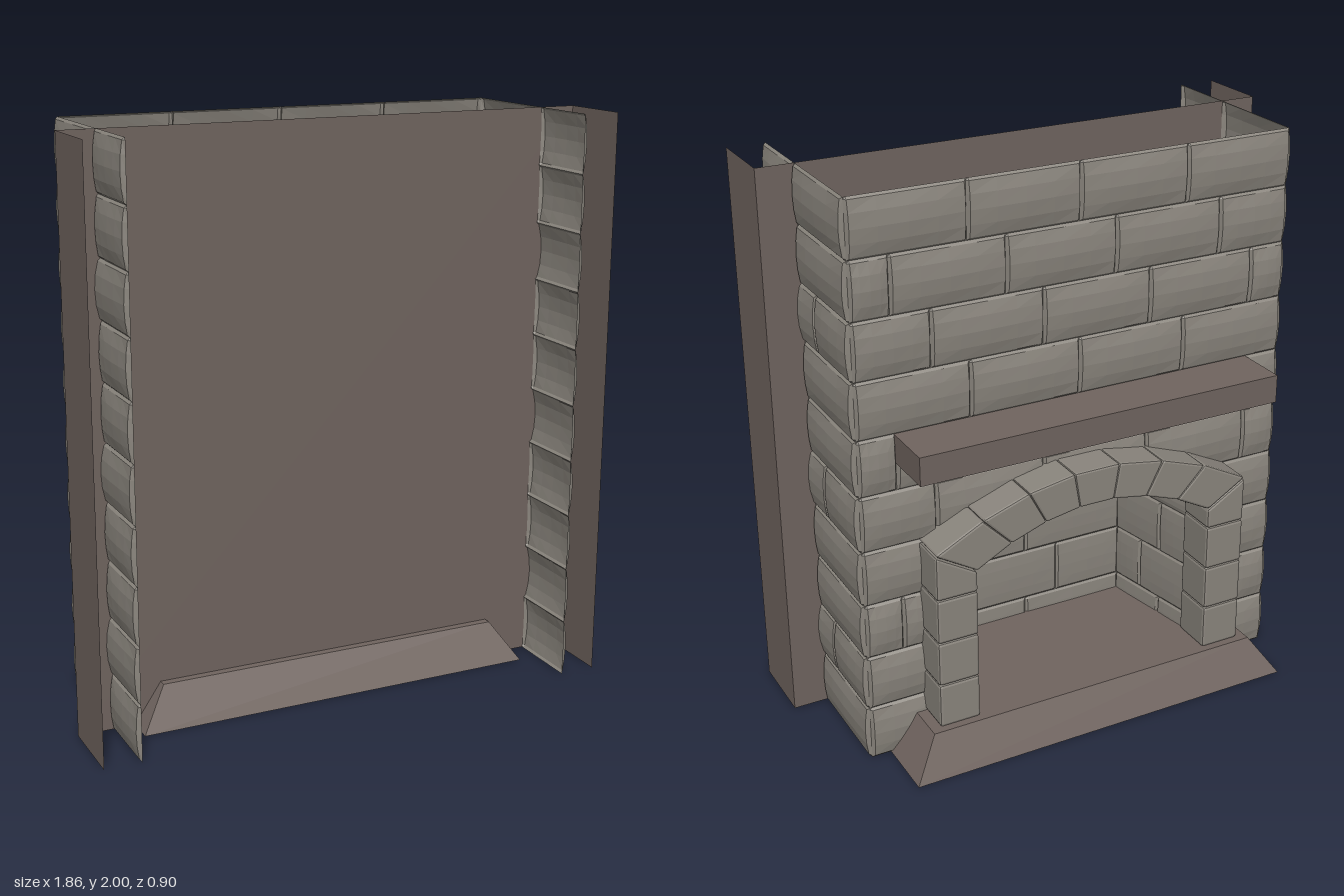
import * as THREE from 'three';
import { mergeGeometries } from 'three/addons/utils/BufferGeometryUtils.js';
import { RoundedBoxGeometry } from 'three/addons/geometries/RoundedBoxGeometry.js';

const stone = new THREE.MeshStandardMaterial({ name: 'grey stone', color: 0x8a857d, side: THREE.DoubleSide, flatShading: true });
const brown = new THREE.MeshStandardMaterial({ name: 'dull brown', color: 0x70645f, side: THREE.DoubleSide, flatShading: true });

// One pillowed stone face: place(u, v, h) puts a point raised h off the wall
function pillow(place, u0, u1, v0, v1, groove = 0.008, bulge = 0.016) {
  const N = 6, geo = new THREE.PlaneGeometry(1, 1, N, N), pos = geo.attributes.position;
  const steps = [0, 0.03, 0.25, 0.5, 0.75, 0.97, 1];
  const at = (i, a, b) => {
    const edge = Math.min(0.008, (b - a) * 0.2);
    if (i === 1) return a + edge;
    if (i === N - 1) return b - edge;
    return a + (b - a) * steps[i];
  };
  for (let j = 0; j <= N; j++) for (let i = 0; i <= N; i++) {
    const rim = i === 0 || j === 0 || i === N || j === N;
    const p = (4 * steps[j] * (1 - steps[j])) * (0.6 + 1.6 * steps[i] * (1 - steps[i]));
    const h = rim ? 0 : groove + bulge * Math.max(0, p - 0.1);
    pos.setXYZ(j * (N + 1) + i, ...place(at(i, u0, u1), at(j, v0, v1), h));
  }
  geo.computeVertexNormals();
  return geo;
}

const rise = (t, spring, top) => spring + (top - spring) * (1 - t * t);

export function createModel() {
  const model = new THREE.Group();
  model.name = 'fireplace';
  const add = (name, geo, mat, x = 0, y = 0, z = 0) => {
    const m = new THREE.Mesh(geo, mat);
    m.name = name;
    m.position.set(x, y, z);
    model.add(m);
    return m;
  };
  const FRONT = -0.218, BACK = 0.175, OPEN = 0.475;
  const fireHalf = z => OPEN - (z - FRONT) * 0.19;

  // Chimney breast: ten staggered courses on the face and both sides
  const face = [], sides = { 1: [], '-1': [] };
  const facePoint = (x, y, h) => [x, y, FRONT - h];
  for (let k = 0; k < 10; k++) {
    const y1 = 2 - k * 0.2, y0 = y1 - 0.2, shift = (k % 3) * 0.1333;
    const joints = [-0.8];
    for (let n = -5; n < 5; n++) {
      const x = 0.4 - shift + n * 0.4;
      if (x > -0.72 && x < 0.72) joints.push(x);
    }
    joints.push(0.8);
    for (let i = 0; i < joints.length - 1; i++) {
      const a = joints[i], b = joints[i + 1];
      const spans = k < 6 ? [[a, b]] : [[a, Math.min(b, -OPEN)], [Math.max(a, OPEN), b]];
      for (const [p, q] of spans) if (q - p > 0.01) face.push(pillow(facePoint, p, q, y0, y1));
    }
    const mid = k % 3 === 2 ? 0.05 : 0.18;
    for (const s of [1, -1]) {
      const sidePoint = (z, y, h) => [s * (0.8 + h), y, z];
      sides[s].push(pillow(sidePoint, FRONT, mid, y0, y1), pillow(sidePoint, mid, 0.45, y0, y1));
    }
  }
  add('chimneyFace', mergeGeometries(face), stone);
  add('leftChimneySide', mergeGeometries(sides[1]), stone);
  add('rightChimneySide', mergeGeometries(sides[-1]), stone);

  // Flat stone between the arched opening and the courses above
  const lintel = new THREE.Shape();
  lintel.moveTo(-OPEN, 0.81);
  for (let i = 0; i <= 12; i++) {
    const t = -1 + i / 6;
    lintel.lineTo(t * OPEN, rise(t, 0.68, 0.79));
  }
  lintel.lineTo(OPEN, 0.81);
  add('openingLintel', new THREE.ShapeGeometry(lintel), stone, 0, 0, FRONT - 0.003);

  // Firebox: tapering side walls, back wall and vault
  const box = [];
  const rows = [0.0, 0.2, 0.4, 0.6, 0.68];
  for (let r = 0; r < 4; r++) {
    const cut = r % 2 ? 0.04 : -0.06;
    for (const s of [1, -1]) {
      const wall = (z, y, h) => [s * (fireHalf(z) - h), y, z];
      box.push(pillow(wall, FRONT, cut, rows[r], rows[r + 1], 0.006, 0.005));
      box.push(pillow(wall, cut, BACK, rows[r], rows[r + 1], 0.006, 0.005));
    }
    const cuts = r % 2 ? [-0.4, -0.13, 0.27, 0.4] : [-0.4, 0, 0.4];
    const top = r === 3 ? 1 : 0;
    const back = (x, y, h) => {
      const f = top * (y - 0.6) / 0.08;
      return [x, y + f * (rise(x / 0.4, 0, 0.11)), BACK - h];
    };
    for (let i = 0; i < cuts.length - 1; i++) box.push(pillow(back, cuts[i], cuts[i + 1], rows[r], rows[r + 1], 0.006, 0.005));
  }
  const vault = (t, z, h) => [t * fireHalf(z), rise(t, 0.68, 0.79) - h, z];
  const strips = [-1, -0.55, 0, 0.55, 1];
  for (let i = 0; i < 4; i++) box.push(pillow(vault, strips[i], strips[i + 1], FRONT, BACK, 0.004, 0.003));
  add('firebox', mergeGeometries(box), stone);

  // Surround: two stacked posts and a ring of arch stones
  for (const s of [1, -1]) {
    const post = new THREE.Group();
    post.name = s > 0 ? 'leftPost' : 'rightPost';
    for (let i = 0; i < 4; i++) {
      const geo = new RoundedBoxGeometry(0.15, 0.164, 0.155, 1, 0.01);
      const p = geo.attributes.position;
      // The top stone slopes down towards the opening
      if (i === 3) for (let v = 0; v < p.count; v++) {
        if (p.getY(v) > 0) p.setY(v, p.getY(v) - 0.045 + s * p.getX(v) * 0.6);
      }
      const m = new THREE.Mesh(geo, stone);
      m.position.set(s * 0.525, 0.222 + i * 0.164, -0.28);
      post.add(m);
    }
    model.add(post);
  }
  const ring = [];
  const count = 7;
  for (let i = 0; i < count; i++) {
    const geo = new RoundedBoxGeometry(0.16, 0.14, 0.155, 1, 0.008);
    const p = geo.attributes.position;
    for (let v = 0; v < p.count; v++) {
      const t = -1 + 2 * (i + 0.5 + p.getX(v) / 0.16) / count;
      const f = p.getY(v) / 0.14 + 0.5;
      const x = t * (0.45 + 0.15 * f);
      const y = rise(t, 0.71, 0.85) * (1 - f) + rise(t, 0.8, 0.98) * f;
      p.setXYZ(v, x, y, p.getZ(v) - 0.28);
    }
    geo.computeVertexNormals();
    ring.push(geo);
  }
  add('archStones', mergeGeometries(ring), stone);

  // Mantel shelf on three brackets
  add('mantelShelf', new THREE.BoxGeometry(1.34, 0.1, 0.26), brown, 0, 1.15, -0.285);
  for (const x of [-0.46, 0, 0.46]) {
    const geo = new THREE.BoxGeometry(0.13, 0.05, 0.19);
    const p = geo.attributes.position;
    for (let v = 0; v < p.count; v++) if (p.getY(v) < 0 && p.getZ(v) < 0) p.setY(v, 0.005);
    add('mantelBracket', geo, brown, x, 1.075, -0.255);
  }

  // Hearth: tapered slab, open underneath
  const hearth = new THREE.BoxGeometry(1.46, 0.14, 0.73);
  const hp = hearth.attributes.position;
  for (let v = 0; v < hp.count; v++) if (hp.getY(v) > 0) {
    hp.setX(v, Math.sign(hp.getX(v)) * 0.635);
    hp.setZ(v, Math.sign(hp.getZ(v)) * 0.295);
  }
  hearth.setIndex([...hearth.index.array].filter((_, i) => i < 18 || i >= 24));
  hearth.clearGroups();
  add('hearth', hearth, brown, 0, 0.07, -0.085);

  // Rear panel with two return flaps
  add('rearPanel', new THREE.PlaneGeometry(1.86, 2), brown, 0, 1, 0.182);
  for (const s of [1, -1]) {
    const flap = add(s > 0 ? 'leftFlap' : 'rightFlap', new THREE.PlaneGeometry(0.268, 2), brown, s * 0.93, 1, 0.316);
    flap.rotation.y = s * Math.PI / 2;
  }
  return model;
}
